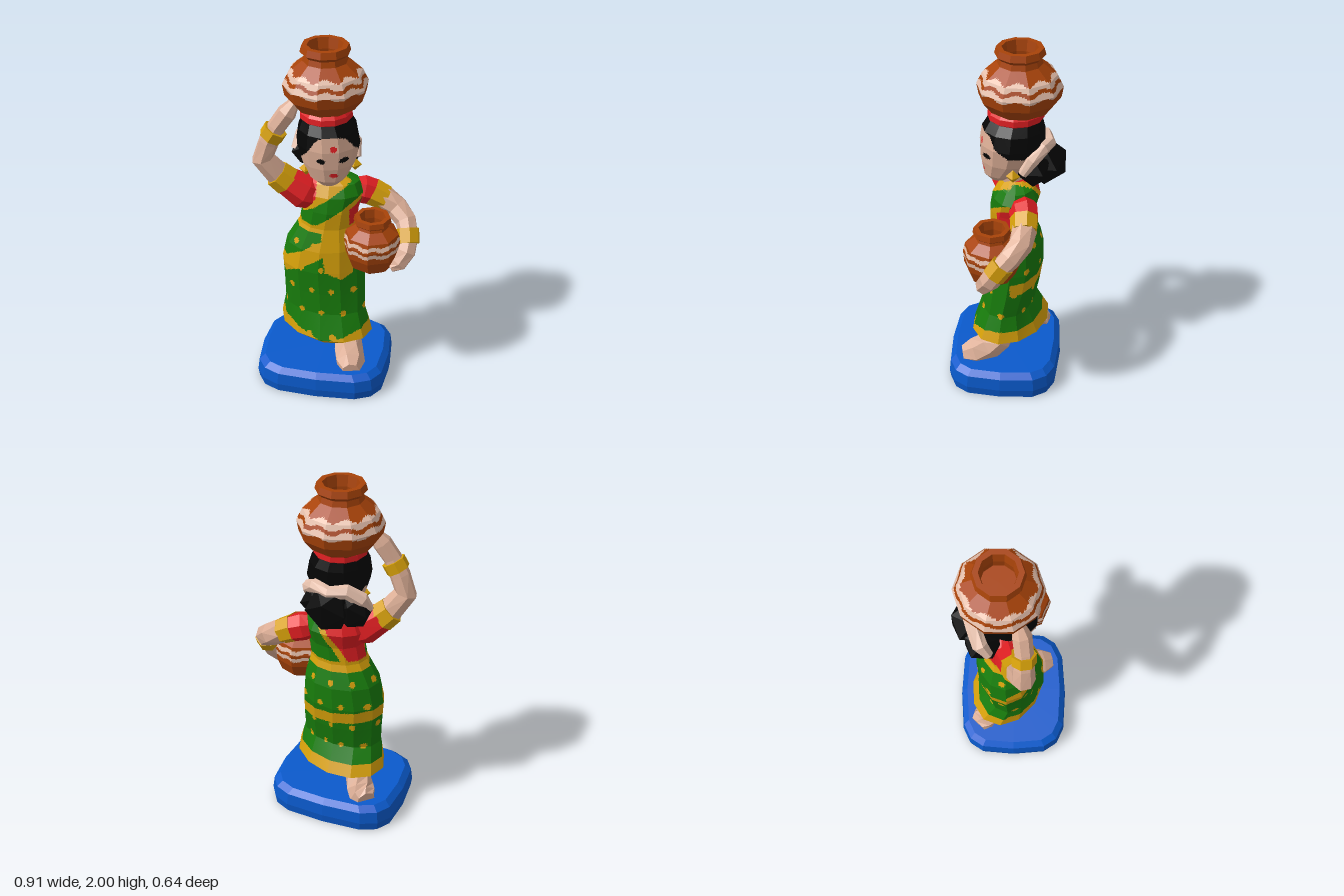
import * as THREE from 'three';

const mat = (name, color) => {
  const m = new THREE.MeshStandardMaterial({ color });
  m.name = name;
  return m;
};
const V = (x, y, z) => new THREE.Vector3(x, y, z);

// Closed rows of points become a faceted mesh; paint(p) picks one of the materials per face.
function skin(name, rows, mats, paint = () => 0) {
  const buckets = mats.map(() => []);
  const tri = (a, b, c) => {
    const n = b.clone().sub(a).cross(c.clone().sub(a));
    if (n.length() < 1e-9) return;
    const mid = a.clone().add(b).add(c).divideScalar(3);
    buckets[paint(mid)].push(...a.toArray(), ...b.toArray(), ...c.toArray());
  };
  for (let i = 0; i < rows.length - 1; i++) {
    const lo = rows[i], hi = rows[i + 1];
    for (let j = 0; j < lo.length; j++) {
      const k = (j + 1) % lo.length;
      tri(lo[j], lo[k], hi[k]);
      tri(lo[j], hi[k], hi[j]);
    }
  }
  const geo = new THREE.BufferGeometry();
  geo.setAttribute('position', new THREE.Float32BufferAttribute(buckets.flat(), 3));
  let start = 0;
  buckets.forEach((b, i) => {
    geo.addGroup(start, b.length / 3, i);
    start += b.length / 3;
  });
  geo.computeVertexNormals();
  const mesh = new THREE.Mesh(geo, mats.length > 1 ? mats : mats[0]);
  mesh.name = name;
  return mesh;
}

// Upright body from rings [y, cx, cz, rx, rz, skew]; painted bodies get a fine grid on the same facets.
function loft(name, rings, sides, mats, paint, power = 1) {
  const fine = mats.length > 1 ? 10 : 1;
  const bend = (v) => Math.sign(v) * Math.abs(v) ** power;
  const corner = ([y, cx, cz, rx, rz, skew = 0], j) => {
    const a = (j / sides) * Math.PI * 2;
    const dx = rx * bend(Math.sin(a));
    return V(cx + dx, y, cz + rz * bend(Math.cos(a)) + skew * dx);
  };
  const ringRow = (r) => Array.from({ length: sides * fine }, (_, i) =>
    corner(r, Math.floor(i / fine)).lerp(corner(r, Math.floor(i / fine) + 1), (i % fine) / fine));
  const first = rings[0], last = rings[rings.length - 1];
  const all = [[...first.slice(0, 3), 0, 0], ...rings, [...last.slice(0, 3), 0, 0]];
  const rows = [ringRow(all[0])];
  for (let i = 1; i < all.length; i++) {
    const a = ringRow(all[i - 1]), b = ringRow(all[i]);
    const steps = fine > 1 ? Math.max(1, Math.ceil(Math.abs(all[i][0] - all[i - 1][0]) / 0.008)) : 1;
    for (let s = 1; s <= steps; s++) rows.push(a.map((p, j) => p.clone().lerp(b[j], s / steps)));
  }
  return skin(name, rows, mats, paint);
}

// Limb along a path of [x, y, z, radius], with closed ends.
function limb(name, path, material, ref = V(0, 0, 1), sides = 7) {
  const pts = path.map((p) => V(p[0], p[1], p[2]));
  const rows = pts.map((p, i) => {
    const t = pts[Math.min(i + 1, pts.length - 1)].clone().sub(pts[Math.max(i - 1, 0)]).normalize();
    const v = ref.clone().addScaledVector(t, -t.dot(ref)).normalize();
    const u = t.clone().cross(v);
    return Array.from({ length: sides }, (_, j) => {
      const a = (j / sides) * Math.PI * 2;
      return p.clone().addScaledVector(u, Math.sin(a) * path[i][3]).addScaledVector(v, Math.cos(a) * path[i][3]);
    });
  });
  const cap = (p) => Array.from({ length: sides }, () => p.clone());
  return skin(name, [cap(pts[0]), ...rows, cap(pts[pts.length - 1])], [material]);
}

export function createModel() {
  const blue = mat('blue', 0x0a5acc), green = mat('green', 0x187c0c), yellow = mat('yellow', 0xd6a00a);
  const red = mat('red', 0xe01e22), clay = mat('clay', 0xa84309), flesh = mat('skin', 0xdcae96);
  const black = mat('black', 0x050505), pale = mat('pale', 0xe6c0ac);
  const model = new THREE.Group();
  const add = (...parts) => model.add(...parts);

  // Plinth with rounded corners
  add(loft('plinth', [[0, -0.07, 0, 0.375, 0.315], [0.05, -0.07, 0, 0.382, 0.322],
    [0.12, -0.07, 0, 0.373, 0.315], [0.15, -0.07, 0, 0.34, 0.285]], 16, [blue], undefined, 0.55));

  // Feet
  add(limb('leftFoot', [[0.06, 0.32, 0, 0.06], [0.065, 0.24, 0.02, 0.075], [0.08, 0.185, 0.09, 0.085],
    [0.105, 0.155, 0.17, 0.085], [0.12, 0.15, 0.235, 0.05]], flesh, V(1, 0, 0)));
  add(limb('rightFoot', [[-0.19, 0.32, -0.09, 0.055], [-0.205, 0.23, -0.115, 0.072], [-0.23, 0.18, -0.15, 0.08],
    [-0.265, 0.155, -0.185, 0.078], [-0.295, 0.15, -0.215, 0.055]], flesh));

  // Draped dress: 0 green, 1 yellow, 2 red
  const drape = (p) => {
    const { x, y, z } = p;
    const front = z > -0.04;
    if (y < (front ? 0.29 + 0.33 * Math.abs(x + 0.05) : 0.365)) return 1;
    if (y > 1.0) {
      if (front) {
        const s = y - (1.105 + 0.73 * (x + 0.04));
        if (Math.abs(s) < 0.057) return 0;
        if (s > 0) return s < 0.1 || x > -0.11 ? 1 : 2;
        return x < 0.07 || s > -0.09 ? 1 : 2;
      }
      const e = x + 0.02 + (1.2 - y) * 0.6;
      return e > 0.03 ? 0 : e > -0.01 ? 1 : 2;
    }
    if (front) {
      const band = y - (0.72 + 0.66 * (x + 0.29));
      if (x < 0.06 && Math.abs(band) < 0.05) return 1;
      if (x > -0.08 + (1 - y) * 0.1 && x < 0.1 && y > 0.68 + Math.abs(x - 0.04) * 0.5) return 1;
      if (y > 0.955) return 1;
    } else if (y > 0.94 || Math.abs(y - 0.655 + 0.1 * (x + 0.07)) < 0.036) return 1;
    // Scattered dots
    const row = Math.round((y - 0.46) / 0.14);
    const a = Math.atan2(x + 0.07, z + 0.03) / (Math.PI * 2) * 9 + (row & 1) * 0.5;
    return Math.hypot((a - Math.round(a)) * 0.14, y - 0.46 - row * 0.14) < 0.018 ? 1 : 0;
  };
  add(loft('dress', [[0.24, -0.06, -0.02, 0.16, 0.14, 0.15], [0.3, -0.07, -0.03, 0.275, 0.212, 0.18],
    [0.45, -0.075, -0.015, 0.235, 0.15, 0.08], [0.58, -0.08, -0.03, 0.235, 0.162, 0.04],
    [0.72, -0.088, -0.04, 0.235, 0.172], [0.85, -0.08, -0.045, 0.215, 0.163], [0.98, -0.06, -0.04, 0.16, 0.125],
    [1.08, -0.045, -0.04, 0.155, 0.125], [1.17, -0.04, -0.06, 0.178, 0.13], [1.23, -0.04, -0.065, 0.15, 0.1],
    [1.265, -0.05, -0.06, 0.075, 0.06]], 12, [green, yellow, red], drape));

  // Raised right arm
  add(limb('rightSleeve', [[-0.12, 1.13, -0.03, 0.08], [-0.19, 1.165, -0.01, 0.1], [-0.285, 1.235, 0.01, 0.08]], red));
  add(limb('rightSleeveBand', [[-0.275, 1.227, 0.01, 0.084], [-0.33, 1.28, 0.025, 0.078]], yellow));
  add(limb('rightArm', [[-0.31, 1.26, 0.02, 0.07], [-0.395, 1.38, 0.05, 0.064], [-0.36, 1.48, 0.05, 0.056],
    [-0.315, 1.57, 0.05, 0.05], [-0.26, 1.65, 0.04, 0.052], [-0.22, 1.71, 0.025, 0.028]], flesh));
  add(limb('rightBangle', [[-0.35, 1.505, 0.05, 0.066], [-0.32, 1.555, 0.05, 0.066]], yellow));

  // Left arm curled round the small pot
  add(limb('leftSleeve', [[0.09, 1.155, -0.1, 0.07], [0.12, 1.15, -0.112, 0.08], [0.18, 1.13, -0.125, 0.075]], red));
  add(limb('leftSleeveBand', [[0.17, 1.135, -0.12, 0.078], [0.245, 1.097, -0.125, 0.072]], yellow));
  add(limb('leftArm', [[0.23, 1.105, -0.125, 0.068], [0.31, 1.055, -0.11, 0.066], [0.37, 1.005, -0.06, 0.06],
    [0.395, 0.94, 0.0, 0.054], [0.385, 0.87, 0.045, 0.058], [0.35, 0.81, 0.08, 0.048], [0.31, 0.79, 0.1, 0.025]],
  flesh, V(-1, 0, 0)));
  add(limb('leftBangle', [[0.385, 0.975, -0.025, 0.066], [0.397, 0.91, 0.022, 0.064]], yellow, V(-1, 0, 0)));

  // Neck, and head painted with hair, eyes, lips and forehead mark
  add(limb('neck', [[-0.05, 1.22, -0.05, 0.075], [-0.05, 1.32, -0.03, 0.07]], flesh));
  const spot = (p, x, y, rx, ry) => p.z > 0 && Math.hypot((p.x - x) / rx, (p.y - y) / ry) < 1;
  const face = (p) => {
    const u = (p.x + 0.06) * 0.3 + p.z * 0.95;
    const w = (p.x + 0.06) * 0.95 - p.z * 0.3;
    if (spot(p, -0.065, 1.43, 0.023, 0.015) || spot(p, 0.05, 1.43, 0.021, 0.015)) return 1;
    if (spot(p, 0, 1.5, 0.017, 0.017) || spot(p, 0, 1.343, 0.021, 0.014)) return 2;
    const hairline = Math.min(1.485 + 0.6 * u, 1.58 - (w < 0 ? 9 : 5) * w * w);
    return p.y > hairline || u < -0.1 ? 1 : 0;
  };
  add(loft('head', [[1.26, -0.04, 0.035, 0.05, 0.05], [1.3, -0.045, 0.025, 0.1, 0.095],
    [1.38, -0.05, -0.015, 0.145, 0.15], [1.48, -0.057, -0.035, 0.172, 0.175],
    [1.56, -0.06, -0.04, 0.158, 0.168], [1.62, -0.07, -0.05, 0.125, 0.14]], 12, [flesh, black, red], face));

  // Bun of three lobes with a garland over it
  const bun = new THREE.Group();
  bun.name = 'hairBun';
  for (const [x, y, z, r] of [[-0.07, 1.355, -0.21, 0.128], [-0.185, 1.345, -0.16, 0.105], [0.01, 1.35, -0.155, 0.1]]) {
    const lobe = new THREE.Mesh(new THREE.IcosahedronGeometry(r, 0), black);
    lobe.position.set(x, y, z);
    bun.add(lobe);
  }
  add(bun);
  add(limb('garland', [[0.085, 1.35, -0.1, 0.025], [0.07, 1.42, -0.145, 0.038], [0.01, 1.465, -0.195, 0.04],
    [-0.075, 1.455, -0.23, 0.036], [-0.16, 1.465, -0.2, 0.04], [-0.23, 1.42, -0.17, 0.042],
    [-0.255, 1.35, -0.13, 0.03]], pale, V(0, 0.3, 1)));

  // Earrings
  for (const [name, x, z] of [['leftEarring', 0.085, -0.05], ['rightEarring', -0.162, 0.05]]) {
    const drop = new THREE.Mesh(new THREE.OctahedronGeometry(0.038), yellow);
    drop.name = name;
    drop.position.set(x, 1.335, z);
    add(drop);
  }

  // Head ring and the two pots with wavy stripes
  add(loft('headRing', [[1.595, -0.07, -0.05, 0.12, 0.125], [1.615, -0.07, -0.05, 0.142, 0.15],
    [1.645, -0.07, -0.05, 0.14, 0.147], [1.665, -0.07, -0.05, 0.125, 0.13]], 12, [red]));
  const pot = (name, cx, cz, sides, profile, stripes, width, wave) =>
    loft(name, profile.map(([y, r]) => [y, cx, cz, r, r]), sides, [clay, pale], (p) => {
      const a = Math.atan2(p.x - cx, p.z - cz);
      if (Math.hypot(p.x - cx, p.z - cz) < 0.11) return 0;
      return stripes.some((y) => Math.abs(p.y - y - wave * Math.sin(a * 9)) < width) ? 1 : 0;
    });
  add(pot('largePot', -0.077, -0.07, 10, [[1.64, 0.12], [1.67, 0.17], [1.73, 0.216], [1.79, 0.227], [1.855, 0.195],
    [1.915, 0.12], [1.945, 0.112], [1.965, 0.133], [2, 0.123], [2, 0.095], [1.94, 0.085], [1.88, 0.09]],
  [1.85, 1.798], 0.016, 0.009));
  add(pot('smallPot', 0.2, 0.05, 8, [[0.76, 0.085], [0.79, 0.125], [0.86, 0.152], [0.93, 0.158], [0.98, 0.145],
    [1.02, 0.09], [1.035, 0.085], [1.05, 0.104], [1.08, 0.098], [1.08, 0.072], [1.03, 0.066], [0.98, 0.07]],
  [0.95, 0.905], 0.012, 0.006));
  return model;
}
